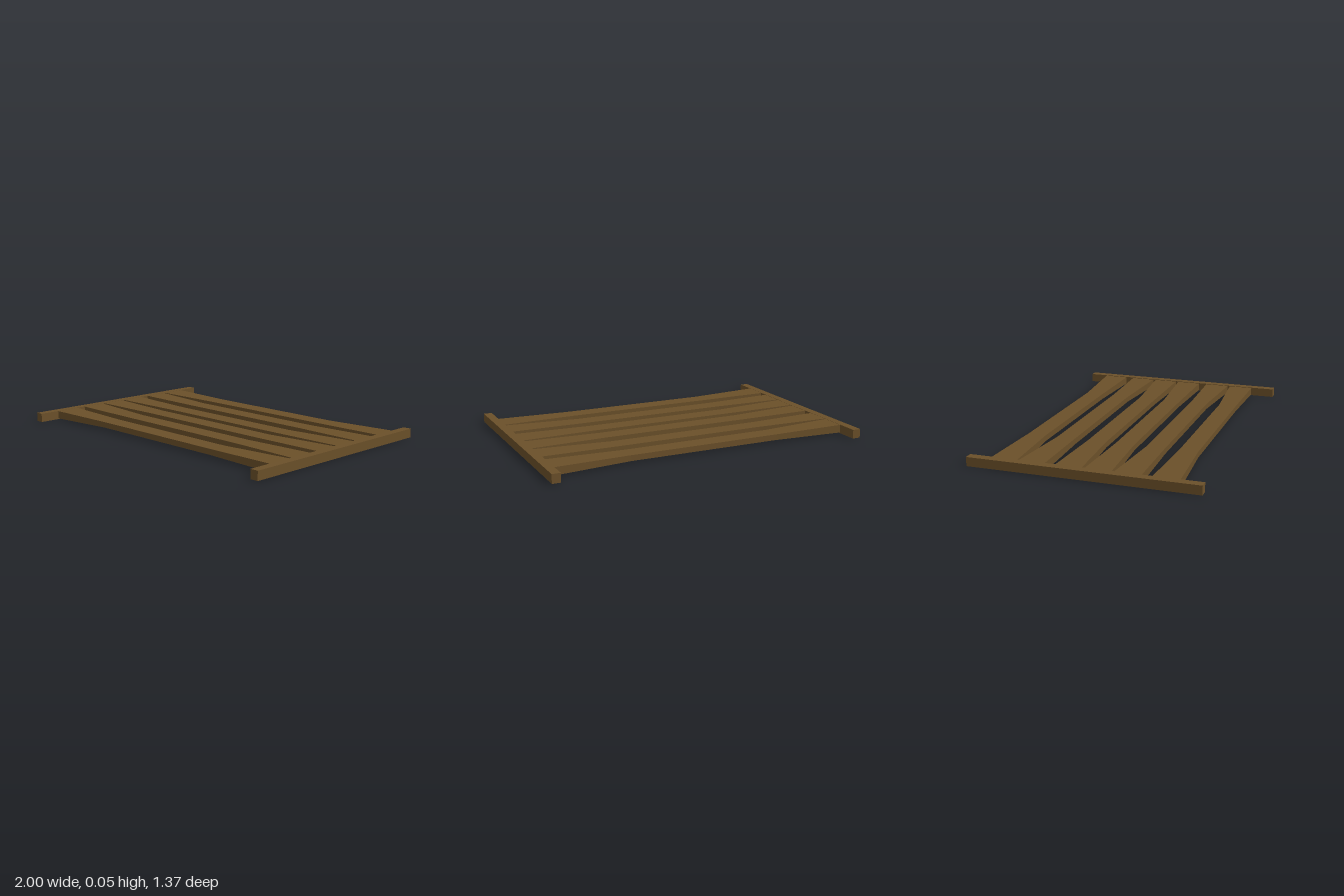
import * as THREE from 'three';

const wood = new THREE.MeshStandardMaterial({ color: 0x6b5029, flatShading: true });

// Box whose four cross-sections along x are reshaped into a waisted plank.
function makeSlat(zLeft, zMid, zRight) {
  const sections = [
    { x: -0.955, z: zLeft, w: 0.157, y0: 0.004, y1: 0.054 },
    { x: -0.48, z: zMid, w: 0.113, y0: 0.012, y1: 0.048 },
    { x: 0.48, z: zMid, w: 0.113, y0: 0.012, y1: 0.047 },
    { x: 0.955, z: zRight, w: 0.157, y0: 0.004, y1: 0.052 },
  ];
  const geo = new THREE.BoxGeometry(3, 1, 1, 3, 1, 1);
  const p = geo.attributes.position;
  for (let i = 0; i < p.count; i++) {
    const s = sections[Math.round(p.getX(i) + 1.5)];
    p.setXYZ(i, s.x, p.getY(i) > 0 ? s.y1 : s.y0, s.z + p.getZ(i) * s.w);
  }
  geo.computeVertexNormals();
  return new THREE.Mesh(geo, wood);
}

export function createModel() {
  const model = new THREE.Group();
  model.name = 'slattedPanel';

  // End rails
  for (const side of [-1, 1]) {
    const rail = new THREE.Mesh(new THREE.BoxGeometry(0.052, 0.055, 1.37), wood);
    rail.position.set(side * 0.974, 0.0275, 0);
    rail.name = side > 0 ? 'leftRail' : 'rightRail';
    model.add(rail);
  }

  // Slats: centre z at the -x end, the middle and the +x end
  const slats = [
    [-0.472, -0.484, -0.493],
    [-0.305, -0.293, -0.282],
    [-0.085, -0.095, -0.108],
    [0.088, 0.079, 0.067],
    [0.258, 0.268, 0.279],
    [0.474, 0.466, 0.452],
  ];
  slats.forEach((z, i) => {
    const slat = makeSlat(...z);
    slat.name = `slat${i + 1}`;
    model.add(slat);
  });

  return model;
}
